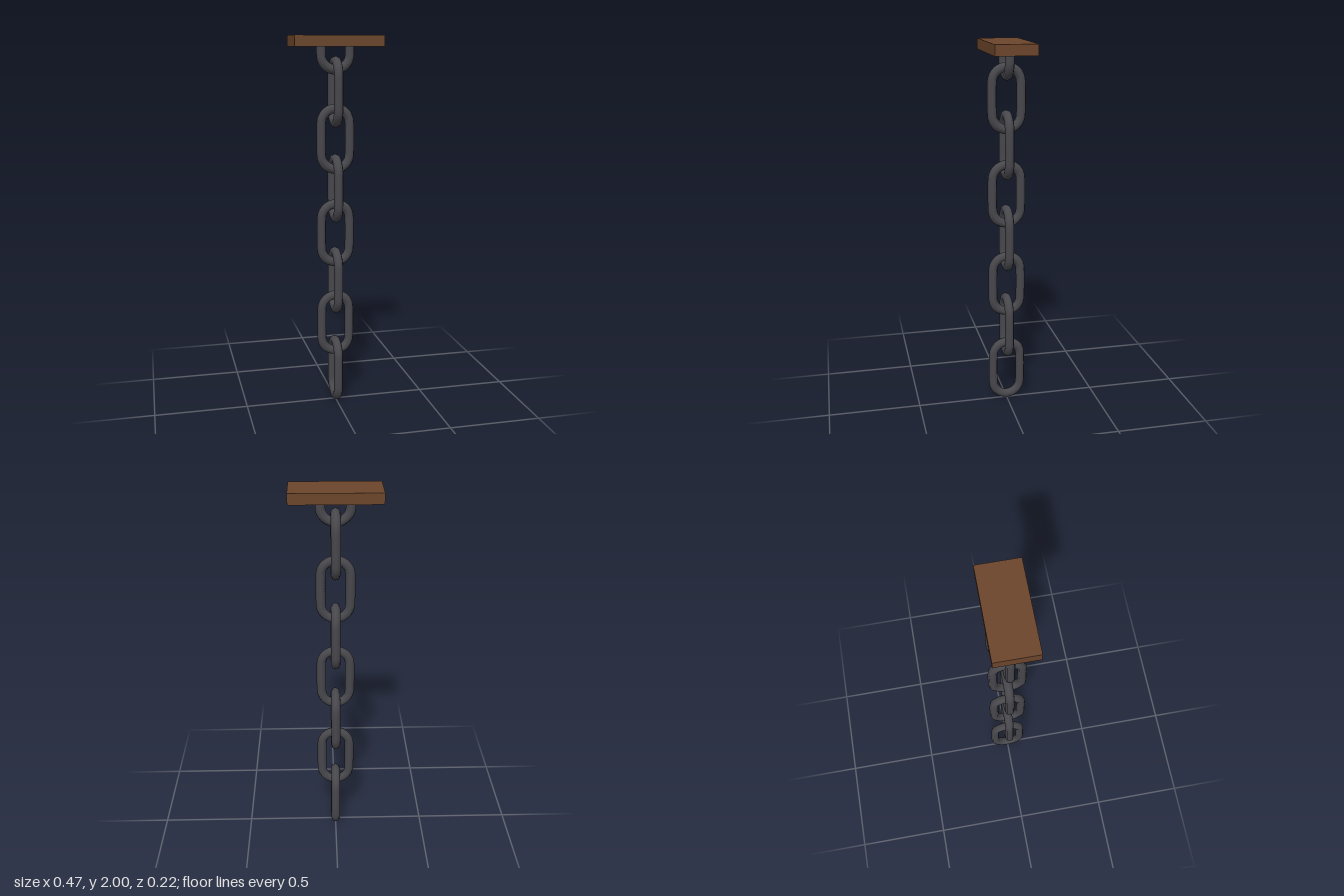
import * as THREE from 'three';

const TUBE = 0.025;   // radius of the iron rod
const BEND = 0.076;   // radius of the rounded link ends
const HALF = 0.084;   // half length of the straight sides

// points of a half circle around (0, y), from angle a0 to a0 + PI
function arc(y, a0, steps = 12) {
  return Array.from({ length: steps + 1 }, (_, i) => {
    const a = a0 + (Math.PI * i) / steps;
    return new THREE.Vector3(BEND * Math.cos(a), y + BEND * Math.sin(a), 0);
  });
}

export function createModel() {
  const wood = new THREE.MeshStandardMaterial({ color: 0x6b452b });
  wood.name = 'brown wood';
  const iron = new THREE.MeshStandardMaterial({ color: 0x48484d });
  iron.name = 'dark iron';

  const group = new THREE.Group();
  group.name = 'hangingChain';
  const add = (name, geometry, material, y, turn = 0) => {
    const mesh = new THREE.Mesh(geometry, material);
    mesh.name = name;
    mesh.position.y = y;
    mesh.rotation.y = turn;
    group.add(mesh);
  };

  // ceiling board
  add('ceilingBoard', new THREE.BoxGeometry(0.466, 0.056, 0.216), wood, 1.972);

  // U-shaped staple, its ends sunk into the board
  const staple = new THREE.CurvePath();
  const bend = arc(0, Math.PI);
  const top = 0.06;
  staple.add(new THREE.LineCurve3(new THREE.Vector3(-BEND, top, 0), bend[0]));
  staple.add(new THREE.CatmullRomCurve3(bend));
  staple.add(new THREE.LineCurve3(bend[bend.length - 1], new THREE.Vector3(BEND, top, 0)));
  add('staple', new THREE.TubeGeometry(staple, 32, TUBE, 8, false), iron, 1.902);

  // seven interlocked links, every second one turned a quarter
  const path = new THREE.CatmullRomCurve3([...arc(HALF, 0), ...arc(-HALF, Math.PI)], true);
  const link = new THREE.TubeGeometry(path, 56, TUBE, 8, true);
  for (let i = 0; i < 7; i++) {
    const across = i % 2 === 0;
    const y = 0.185 + 0.2543 * i + (across ? 0 : 0.01);
    add(`link${i + 1}`, link, iron, y, across ? Math.PI / 2 : 0);
  }
  return group;
}
